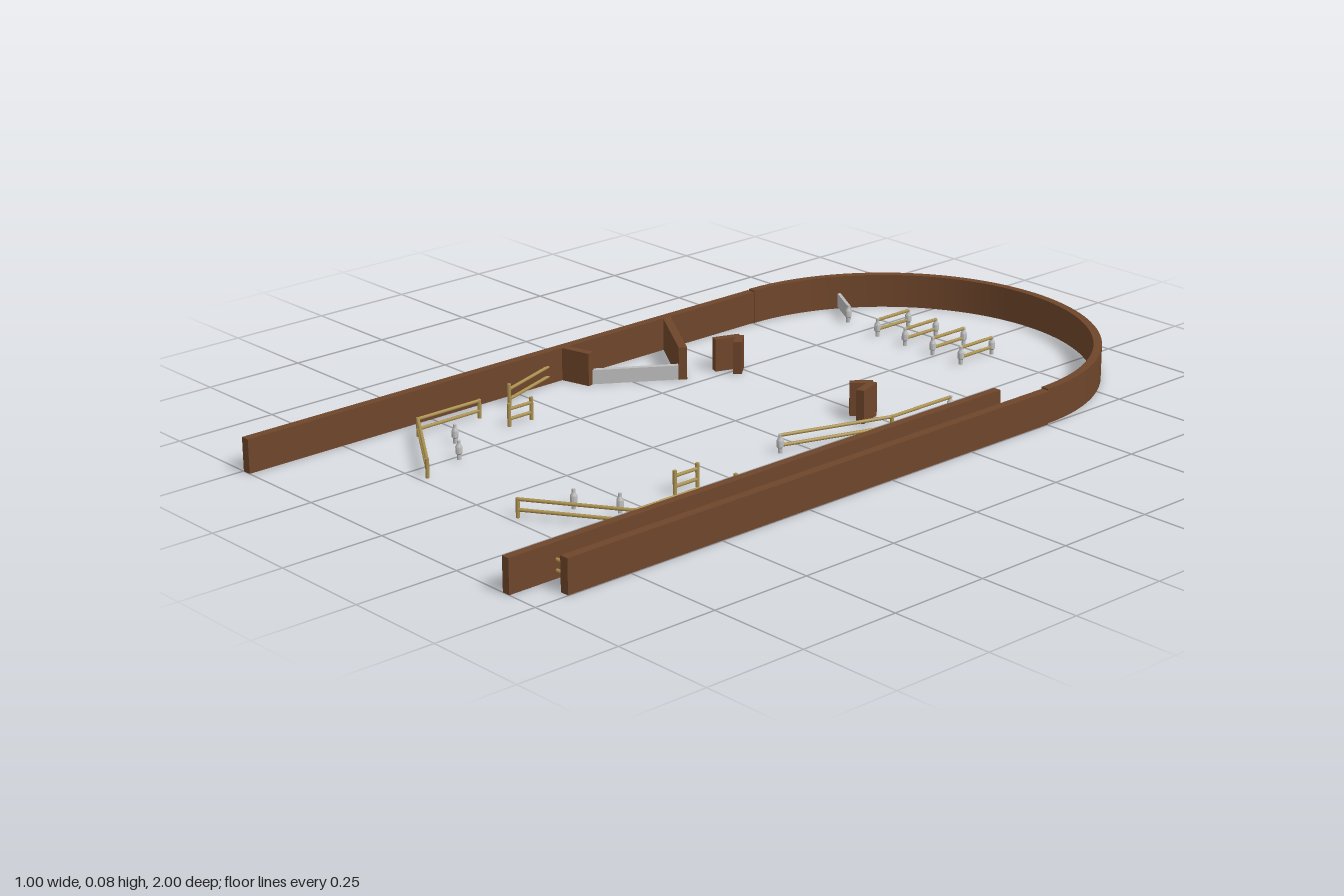
import * as THREE from 'three';
import { toCreasedNormals } from 'three/addons/utils/BufferGeometryUtils.js';

const mat = (name, color) => {
  const m = new THREE.MeshStandardMaterial({ color });
  m.name = name;
  return m;
};

export function createModel() {
  const wood = mat('brown wood', 0x6e452a);
  const brass = mat('brass', 0xab9150);
  const steel = mat('steel', 0xbcbcbc);
  const root = new THREE.Group();
  root.name = 'playfieldRails';

  const add = (parent, name, geo, material, x = 0, y = 0, z = 0) => {
    const m = new THREE.Mesh(geo, material);
    m.name = name;
    m.position.set(x, y, z);
    parent.add(m);
    return m;
  };

  // Upright board running between two [x, z] points
  const board = (name, a, b, thick, height, material, y0 = 0) => {
    const dx = b[0] - a[0], dz = b[1] - a[1];
    const m = add(root, name, new THREE.BoxGeometry(Math.hypot(dx, dz), height, thick), material,
      (a[0] + b[0]) / 2, y0 + height / 2, (a[1] + b[1]) / 2);
    m.rotation.y = -Math.atan2(dz, dx);
  };

  // Round wire between two [x, z] points at height y
  const wire = (parent, a, b, y) => {
    const from = new THREE.Vector3(a[0], y, a[1]), to = new THREE.Vector3(b[0], y, b[1]);
    const dir = to.clone().sub(from);
    const m = add(parent, 'rail', new THREE.CylinderGeometry(0.004, 0.004, dir.length(), 10), brass);
    m.position.copy(from).add(to).multiplyScalar(0.5);
    m.quaternion.setFromUnitVectors(new THREE.Vector3(0, 1, 0), dir.normalize());
  };

  // Turned steel peg
  const pegGeo = toCreasedNormals(new THREE.LatheGeometry(
    [[0, 0], [0.005, 0], [0.005, 0.012], [0.008, 0.015], [0.008, 0.03], [0.004, 0.037], [0.004, 0.045], [0, 0.047]]
      .map(p => new THREE.Vector2(...p)), 14), 0.6);
  const peg = (parent, [x, z]) => add(parent, 'peg', pegGeo, steel, x, 0, z);

  // Two-rail guide along a path, with posts at its corners
  const guide = (name, path, { pegs = false, height = 0.045, posts = true } = {}) => {
    const g = new THREE.Group();
    g.name = name;
    root.add(g);
    for (let i = 1; i < path.length; i++)
      for (const y of [0.018, 0.042]) wire(g, path[i - 1], path[i], y);
    if (posts) path.forEach((p, i) => {
      const end = i === 0 || i === path.length - 1;
      if (pegs && end) peg(g, p);
      else add(g, 'post', new THREE.CylinderGeometry(0.0045, 0.0045, height, 10), brass, p[0], height / 2, p[1]);
    });
  };

  // Long side walls and the curved back wall
  const H = 0.08, T = 0.022;
  board('rightWall', [-0.488, -0.505], [-0.488, 1], T, H, wood);
  board('leftWall', [0.488, -0.505], [0.488, 0.915], T, H, wood);
  board('laneWall', [0.409, -0.43], [0.409, 1], 0.02, H, wood);
  const arch = new THREE.Shape();
  arch.absarc(0, 0.505, 0.495, 0, Math.PI, false);
  arch.absarc(0, 0.505, 0.475, Math.PI, 0, true);
  const archGeo = new THREE.ExtrudeGeometry(arch, { depth: 0.084, bevelEnabled: false, curveSegments: 48 });
  archGeo.rotateX(-Math.PI / 2);
  add(root, 'archWall', toCreasedNormals(archGeo, 0.5), wood);

  // Alcove walls with a steel face plate
  board('alcoveBackWall', [-0.485, -0.222], [-0.287, -0.098], 0.02, H, wood);
  board('alcoveFrontWall', [-0.485, 0.105], [-0.405, 0.085], 0.02, H, wood);
  board('alcovePlate', [-0.297, -0.098], [-0.412, 0.077], 0.013, 0.035, steel);

  // Small bent deflectors
  const chevrons = [
    [[-0.285, -0.195], [-0.262, -0.258], [-0.228, -0.218]],
    [[0.148, -0.218], [0.184, -0.258], [0.205, -0.195]]];
  for (const [a, b, c] of chevrons) {
    board('deflector', a, b, 0.02, H, wood);
    board('deflector', b, c, 0.02, H, wood);
  }

  // One-way flap by the arch
  board('archFlap', [-0.425, -0.745], [-0.322, -0.684], 0.008, 0.035, steel, 0.005);
  peg(root, [-0.322, -0.68]);

  // Top lane dividers
  for (const x of [-0.197, -0.103, -0.01, 0.083])
    guide('laneDivider', [[x, -0.765], [x, -0.657]], { pegs: true });

  // Upper bent guide
  guide('upperGuide', [[0.302, -0.39], [0.302, -0.2], [0.216, 0.065]], { pegs: true });

  // Lower guides, mirrored about x = -0.04
  for (const s of [-1, 1]) {
    const at = (d, z) => [-0.04 + s * d, z];
    guide('outlaneGuide', [at(0.37, 0.415), at(0.37, 0.59), at(0.155, 0.73)]);
    guide('sideGuide', [at(0.445, 0.14), at(0.383, 0.317)], { height: 0.055 });
    guide('shortGuide', [at(0.281, 0.335), at(0.281, 0.4)], { height: 0.055 });
    peg(root, at(0.281, 0.555));
    peg(root, at(0.196, 0.611));
  }

  // Stop across the shooter lane
  guide('laneStop', [[0.415, 0.876], [0.48, 0.876]], { posts: false });

  return root;
}
